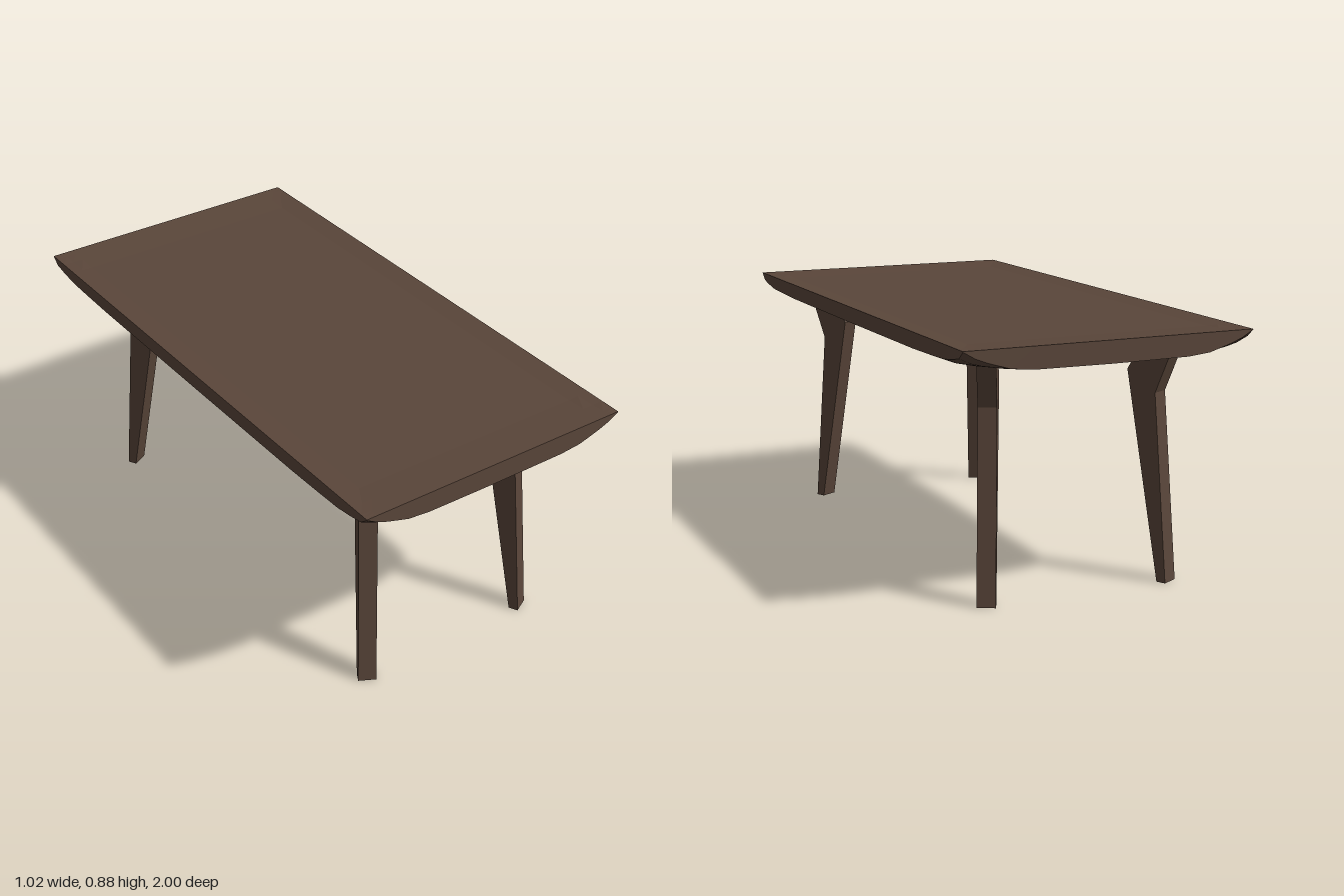
import * as THREE from 'three';

// Piecewise-linear lookup in ascending [position, value] pairs
function lerpTable(table, t) {
  for (let i = 1; i < table.length; i++) {
    const [a, va] = table[i - 1];
    const [b, vb] = table[i];
    if (t <= b) return va + ((vb - va) * (t - a)) / (b - a);
  }
  return table[table.length - 1][1];
}

const mirrored = (half) => [...half.map((v) => -v), 0, ...half.slice().reverse()];

// Faceted look: every triangle gets its own normal
function faceted(geometry) {
  const flat = geometry.toNonIndexed();
  flat.computeVertexNormals();
  return flat;
}

// Tabletop: dished upper side, underside curving up to thin corners
function tabletopGeometry() {
  const xs = mirrored([0.51, 0.47, 0.43, 0.39, 0.35, 0.27, 0.15]);
  const zs = mirrored([1, 0.985, 0.97, 0.92, 0.85, 0.75, 0.6]);
  const riseX = [[0, 0], [0.15, 0.001], [0.27, 0.002], [0.35, 0.006], [0.43, 0.013], [0.47, 0.02], [0.51, 0.035]];
  const riseZ = [[0, 0], [0.6, 0.001], [0.75, 0.002], [0.85, 0.004], [0.92, 0.007], [1, 0.015]];
  const cornerX = [[0, 0], [0.27, 0], [0.35, 0.1], [0.51, 1]];
  const cornerZ = [[0, 0], [0.6, 0], [0.85, 0.1], [0.97, 0.42], [1, 1]];
  const underside = (x, z) =>
    0.795 + lerpTable(riseX, x) + lerpTable(riseZ, z) + 0.038 * lerpTable(cornerX, x) * lerpTable(cornerZ, z);
  const upperSide = (x, z) => 0.885 - 0.007 * Math.min(1, (0.51 - x) / 0.08, (1 - z) / 0.15);

  const nx = xs.length - 1;
  const nz = zs.length - 1;
  const geometry = new THREE.BoxGeometry(1, 1, 1, nx, 1, nz);
  const p = geometry.attributes.position;
  for (let i = 0; i < p.count; i++) {
    const x = xs[Math.round((p.getX(i) + 0.5) * nx)];
    const z = zs[Math.round((p.getZ(i) + 0.5) * nz)];
    const height = p.getY(i) > 0 ? upperSide : underside;
    p.setXYZ(i, x, height(Math.abs(x), Math.abs(z)), z);
  }
  return faceted(geometry);
}

// Leg: bent blade profile, local +x points outward
function legGeometry() {
  const profile = new THREE.Shape(
    [[0, 0], [-0.056, 0.65], [0.008, 0.808], [-0.113, 0.808], [-0.166, 0.72], [-0.034, 0]]
      .map(([s, y]) => new THREE.Vector2(s, y))
  );
  const width = 0.0625;
  return new THREE.ExtrudeGeometry(profile, { depth: width, bevelEnabled: false }).translate(0, 0, -width / 2);
}

export function createModel() {
  const table = new THREE.Group();
  table.name = 'table';
  const wood = new THREE.MeshStandardMaterial({ color: 0x5a463a });
  wood.name = 'dark wood';

  const top = new THREE.Mesh(tabletopGeometry(), wood);
  top.name = 'tabletop';
  table.add(top);

  // Four legs, splayed diagonally from the centre
  const geometry = legGeometry();
  for (const sx of [-1, 1]) {
    for (const sz of [-1, 1]) {
      const leg = new THREE.Mesh(geometry, wood);
      leg.name = (sz > 0 ? 'front' : 'back') + (sx > 0 ? 'Left' : 'Right') + 'Leg';
      leg.position.set(sx * 0.3425, 0, sz * 0.8);
      leg.rotation.y = -Math.atan2(sz * 0.88, sx * 0.47);
      table.add(leg);
    }
  }
  return table;
}
